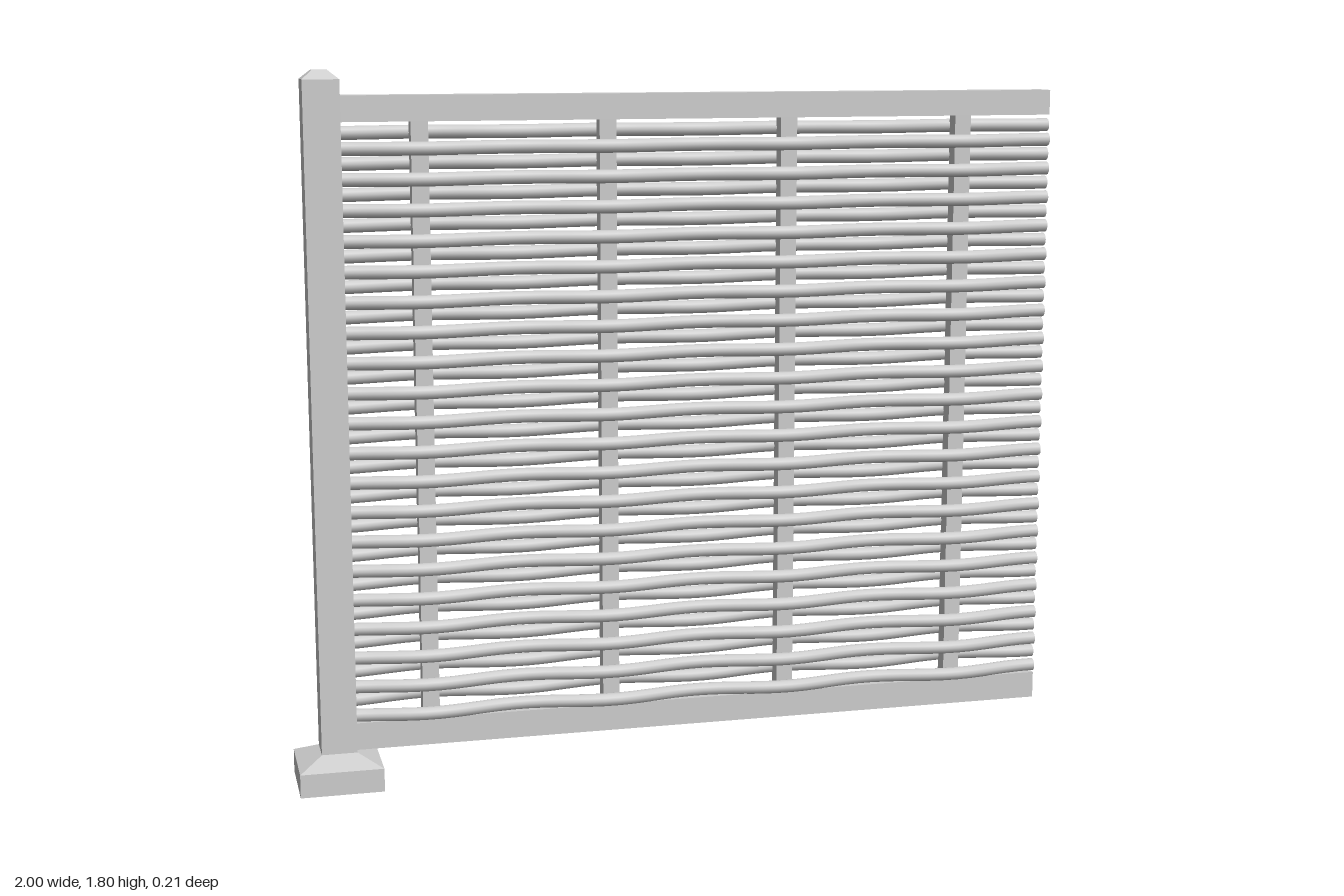
import * as THREE from 'three';

const mat = new THREE.MeshStandardMaterial({ color: 0xcccccc });
const flatMat = new THREE.MeshStandardMaterial({ color: 0xcccccc, flatShading: true });

const POST_X = -0.895, STAKE_X = -0.657, STAKE_STEP = 0.471;
const ROD_START = -0.87, ROD_END = 1.0, ROD_RADIUS = 0.017;

function add(parent, name, geometry, x, y, z = 0, material = flatMat) {
  const mesh = new THREE.Mesh(geometry, material);
  mesh.name = name;
  mesh.position.set(x, y, z);
  parent.add(mesh);
  return mesh;
}

// Square block that narrows from one width to another
function taper(bottom, top, height) {
  const geo = new THREE.CylinderGeometry(top / Math.SQRT2, bottom / Math.SQRT2, height, 4);
  return geo.rotateY(Math.PI / 4);
}

// Rod along x that bulges out around every stake; side is +1 (front) or -1 (back)
function rodGeometry(side) {
  const length = ROD_END - ROD_START;
  const geo = new THREE.CylinderGeometry(ROD_RADIUS, ROD_RADIUS, length, 12, 48);
  geo.rotateZ(-Math.PI / 2).translate((ROD_START + ROD_END) / 2, 0, 0);
  const pos = geo.attributes.position, nor = geo.attributes.normal;
  const k = (2 * Math.PI) / STAKE_STEP, mean = 0.0195, swing = 0.0155;
  const n = new THREE.Vector3();
  for (let i = 0; i < pos.count; i++) {
    const a = k * (pos.getX(i) - STAKE_X);
    pos.setZ(i, pos.getZ(i) + side * (mean + swing * Math.cos(a)));
    // tilt the normal to follow the bend
    n.fromBufferAttribute(nor, i);
    n.x += side * swing * k * Math.sin(a) * n.z;
    n.normalize();
    nor.setXYZ(i, n.x, n.y, n.z);
  }
  return geo;
}

export function createModel() {
  const model = new THREE.Group();
  model.name = 'wovenFencePanel';

  // Post with its footing and cap
  const post = new THREE.Group();
  post.name = 'post';
  model.add(post);
  add(post, 'footing', new THREE.BoxGeometry(0.21, 0.06, 0.21), POST_X, 0.03);
  add(post, 'footingSlope', taper(0.21, 0.09, 0.028), POST_X, 0.074);
  add(post, 'postShaft', new THREE.BoxGeometry(0.09, 1.695, 0.09), POST_X, 0.9275);
  add(post, 'postCap', taper(0.09, 0.037, 0.022), POST_X, 1.786);

  // Rails
  const railLength = 1.86, railX = 0.992 - railLength / 2;
  add(model, 'topRail', new THREE.BoxGeometry(railLength, 0.064, 0.062), railX, 1.704);
  add(model, 'bottomRail', new THREE.BoxGeometry(railLength, 0.07, 0.062), railX, 0.125);

  // Upright stakes
  const stakes = new THREE.Group();
  stakes.name = 'stakes';
  model.add(stakes);
  const stakeGeo = new THREE.BoxGeometry(0.043, 1.55, 0.04);
  for (let i = 0; i < 4; i++) add(stakes, 'stake', stakeGeo, STAKE_X + i * STAKE_STEP, 0.91);

  // Bent rods, alternating front and back
  const rods = new THREE.Group();
  rods.name = 'rods';
  model.add(rods);
  const front = rodGeometry(1), back = rodGeometry(-1);
  for (let i = 0; i < 40; i++) {
    const isFront = i % 2 === 0;
    add(rods, isFront ? 'frontRod' : 'backRod', isFront ? front : back, 0, 0.174 + i * 0.0377, 0, mat);
  }
  return model;
}
